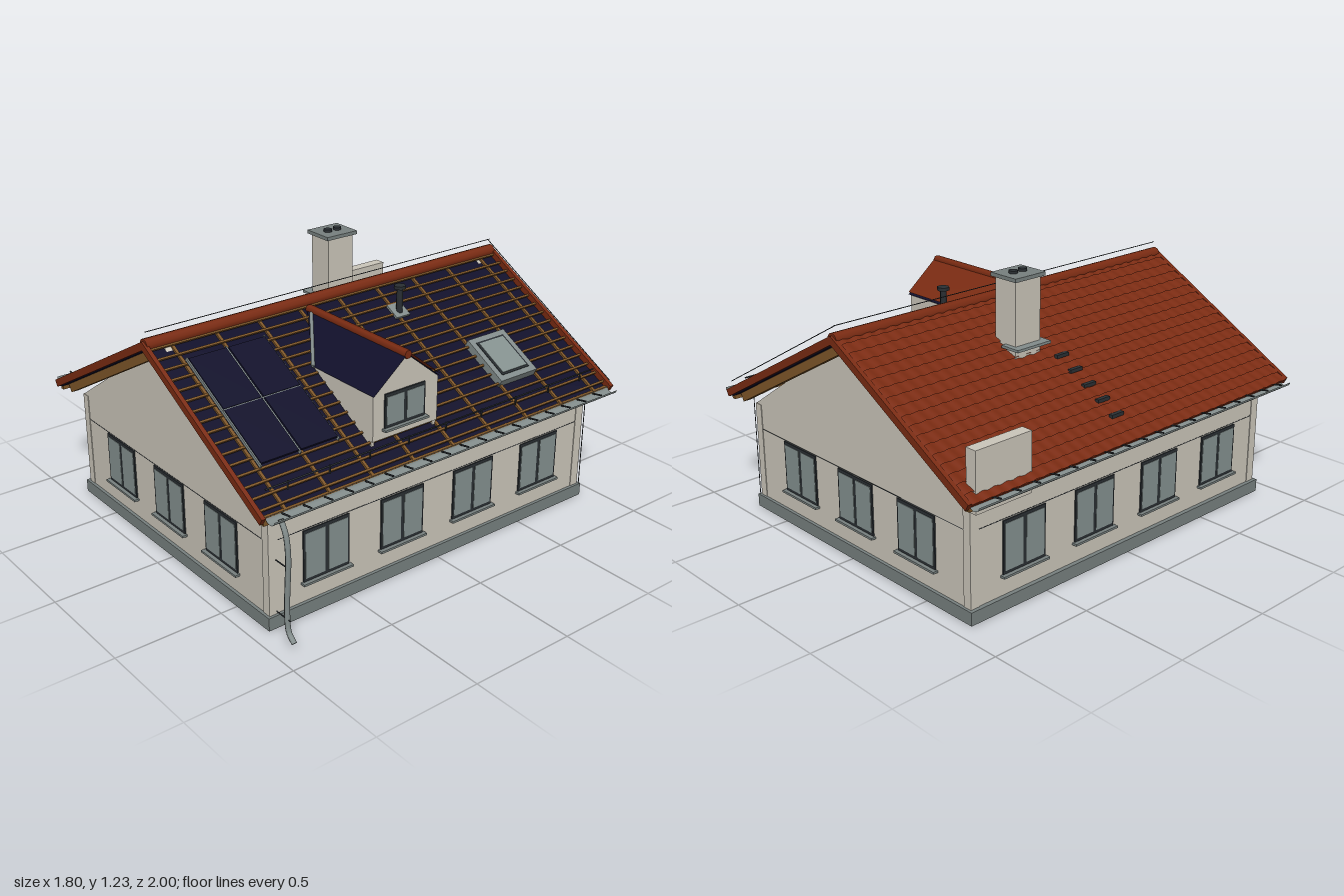
import * as THREE from 'three';

const mat = (name, color, side = THREE.FrontSide) => {
  const m = new THREE.MeshStandardMaterial({ color, side });
  m.name = name;
  return m;
};

export function createModel() {
  const D = THREE.DoubleSide;
  const plaster = mat('plaster', 0xcbc6ba);
  const tile = mat('red tile', 0x7a2b12, D);
  const membrane = mat('navy membrane', 0x100f2a, D);
  const wood = mat('timber', 0x7e5628);
  const stone = mat('grey stone', 0x77807f);
  const metal = mat('grey metal', 0x828c8b, D);
  const glass = mat('window glass', 0x84918f);
  const dark = mat('dark frame', 0x2a2f33);

  const house = new THREE.Group();
  house.name = 'house';
  const add = (name, geo, material, parent = house) => {
    const m = new THREE.Mesh(geo, material);
    m.name = name;
    parent.add(m);
    return m;
  };
  // box given by its minimum and maximum on each axis
  const box = (name, material, x0, x1, y0, y1, z0, z1, parent = house) => {
    const m = add(name, new THREE.BoxGeometry(x1 - x0, y1 - y0, z1 - z0), material, parent);
    m.position.set((x0 + x1) / 2, (y0 + y1) / 2, (z0 + z1) / 2);
    return m;
  };
  // round bar between two points
  const rod = (name, material, a, b, r, parent = house) => {
    const p = new THREE.Vector3(...a), q = new THREE.Vector3(...b);
    const m = add(name, new THREE.CylinderGeometry(r, r, p.distanceTo(q), 6), material, parent);
    m.position.copy(p).add(q).multiplyScalar(0.5);
    m.quaternion.setFromUnitVectors(new THREE.Vector3(0, 1, 0), q.sub(p).normalize());
    return m;
  };
  const plate = (name, material, pts, depth) =>
    add(name, new THREE.ExtrudeGeometry(new THREE.Shape(pts.map(p => new THREE.Vector2(...p))),
      { depth, bevelEnabled: false }), material);

  const CX = -0.02, HW = 0.735, HZ = 0.905, EAVE = 0.52;
  const RIDGE = 1.04, PITCH = 0.555, A = Math.atan(PITCH), L = 0.83 / Math.cos(A);
  const roofY = x => RIDGE - PITCH * Math.abs(x - CX);

  // plinth, walls and gables
  box('plinth', stone, -0.775, 0.73, 0, 0.06, -0.92, 0.92);
  box('walls', plaster, CX - HW, CX + HW, 0.06, EAVE, -HZ, HZ);
  for (const z of [-HZ, HZ - 0.03])
    plate('gable', plaster, [[CX - HW, EAVE], [CX + HW, EAVE], [CX, 1.015]], 0.03).position.z = z;
  // corner strips and the thin band line above the windows
  for (const sx of [-1, 1]) for (const sz of [-1, 1]) {
    const x = CX + sx * (HW - 0.018), z = sz * (HZ - 0.02);
    box('cornerStrip', plaster, x - 0.021, x + 0.021, 0.06, EAVE, z - 0.023, z + 0.023);
  }
  box('bandLine', dark, CX - HW - 0.001, CX + HW + 0.001, 0.399, 0.402, -HZ - 0.001, HZ + 0.001);

  // double casement window, facing +z in its own group
  const makeWindow = (x, y, z, ry, w, h) => {
    const g = new THREE.Group();
    g.name = 'window';
    box('windowFrame', dark, -w / 2, w / 2, -h / 2, h / 2, -0.004, 0.004, g);
    for (const s of [-1, 1]) {
      const c = s * w / 4, hw = w / 4 - 0.009;
      box('windowPane', glass, c - hw, c + hw, -h / 2 + 0.014, h / 2 - 0.014, -0.002, 0.006, g);
    }
    box('windowSill', stone, -w / 2 - 0.01, w / 2 + 0.01, -h / 2 - 0.01, -h / 2, -0.004, 0.022, g);
    g.position.set(x, y, z);
    g.rotation.y = ry;
    house.add(g);
  };
  for (const x of [-0.427, -0.022, 0.38]) {
    makeWindow(x, 0.277, HZ + 0.002, 0, 0.237, 0.24);
    makeWindow(x, 0.277, -HZ - 0.002, Math.PI, 0.237, 0.24);
  }
  for (const z of [-0.617, -0.205, 0.207, 0.617]) {
    makeWindow(CX + HW + 0.002, 0.275, z, Math.PI / 2, 0.237, 0.24);
    makeWindow(CX - HW - 0.002, 0.275, z, -Math.PI / 2, 0.237, 0.24);
  }

  // roof slopes: local x runs down the slope, local y is the outward normal
  const makeSlope = (name, left) => {
    const g = new THREE.Group();
    g.name = name;
    g.position.set(CX, RIDGE, 0);
    g.rotation.set(0, left ? Math.PI : 0, -A);
    box('underlay', membrane, 0, L - 0.01, -0.035, -0.026, -0.985, 0.985, g);
    for (const z of [-0.99, 0.99]) box('vergeTrim', tile, 0, L, -0.03, 0.004, z - 0.01, z + 0.01, g);
    for (let i = 0; i < 9; i++) {
      const z = (i - 4) * 0.235;
      box('rafter', wood, 0.02, L - 0.04, -0.075, -0.035, z - 0.018, z + 0.018, g);
    }
    house.add(g);
    return g;
  };
  const bare = makeSlope('battenedSlope', false);
  const tiled = makeSlope('tiledSlope', true);

  // battens on the open slope
  for (let i = 0; i < 9; i++) {
    const z = -0.9 + i * 0.221;
    box('counterBatten', wood, 0.02, L - 0.02, -0.026, -0.016, z - 0.007, z + 0.007, bare);
  }
  for (let i = 0; i < 16; i++) {
    const x = 0.04 + i * 0.0575;
    box('batten', wood, x - 0.005, x + 0.005, -0.016, -0.007, -0.98, 0.98, bare);
  }

  // overlapping wavy tile courses
  const rows = 18, step = L / rows;
  box('tileBed', tile, 0, L, -0.026, -0.008, -0.98, 0.98, tiled);
  for (let i = 0; i < rows; i++) {
    const geo = new THREE.PlaneGeometry(step + 0.012, 1.96, 1, 160).rotateX(-Math.PI / 2);
    const p = geo.attributes.position;
    for (let j = 0; j < p.count; j++)
      p.setY(j, (p.getX(j) > 0 ? 0.006 : -0.005) + 0.003 * Math.sin(p.getZ(j) * 100));
    geo.computeVertexNormals();
    add('tileCourse', geo, tile, tiled).position.x = (i + 0.5) * step;
  }
  // ridge tiles
  const ridge = add('ridgeTiles', new THREE.CylinderGeometry(0.03, 0.03, 1.98, 10).rotateX(Math.PI / 2), tile);
  ridge.position.set(CX, 1.025, 0);

  // eaves: fascia, gutter and brackets
  for (const s of [-1, 1]) {
    const fx = CX + s * 0.805;
    box('fascia', wood, fx - 0.01, fx + 0.01, 0.54, 0.575, -0.98, 0.98);
    const gx = CX + s * 0.842;
    const gutter = add('gutter', new THREE.CylinderGeometry(0.028, 0.028, 1.95, 10, 1, true, -Math.PI / 2, Math.PI)
      .rotateX(Math.PI / 2).scale(1, 0.8, 1), metal);
    gutter.position.set(gx, 0.577, -0.005);
    for (let i = 0; i < 18; i++) {
      const z = -0.87 + i * 0.104;
      rod('gutterBracket', dark, [gx - s * 0.02, 0.574, z], [gx + s * 0.032, 0.583, z], 0.004);
    }
  }

  // curved downpipe with clips
  const path = new THREE.CatmullRomCurve3([[0.825, 0.565], [0.855, 0.51], [0.868, 0.42], [0.862, 0.3],
    [0.855, 0.17], [0.865, 0.07], [0.9, 0.035]].map(([x, y]) => new THREE.Vector3(x, y, 0.92)));
  add('downpipe', new THREE.TubeGeometry(path, 40, 0.012, 8), metal);
  for (const y of [0.365, 0.127]) rod('pipeClip', dark, [0.785, y, 0.92], [0.875, y, 0.92], 0.003);

  // lightning conductor
  rod('conductor', dark, [CX, 1.083, -0.98], [CX, 1.083, 0.98], 0.002);
  rod('conductor', dark, [CX, 1.083, -0.97], [0.81, 0.617, -0.97], 0.002);
  rod('conductor', dark, [0.727, 0.01, -0.91], [0.727, 0.56, -0.91], 0.002);

  // snow rail
  rod('snowRail', dark, [0.725, 0.65, -0.95], [0.725, 0.65, 0.92], 0.004);
  for (let i = 0; i < 9; i++) {
    const z = -0.86 + i * 0.209;
    rod('snowRailPost', dark, [0.725, 0.615, z], [0.725, 0.655, z], 0.004);
  }

  // chimney
  box('chimneyStack', plaster, -0.35, -0.225, 0.82, 1.2, -0.28, -0.135);
  box('chimneyCap', stone, -0.365, -0.212, 1.198, 1.215, -0.295, -0.12);
  box('chimneyFlashing', metal, -0.39, -0.29, 0.898, 0.91, -0.305, -0.108);
  for (const z of [-0.235, -0.18])
    add('chimneyPot', new THREE.CylinderGeometry(0.02, 0.02, 0.03, 12), dark).position.set(-0.287, 1.212, z);

  // roof steps and upright panel on the tiled slope
  for (let i = 0; i < 5; i++) {
    const x = -0.732 + i * 0.082, y = roofY(x);
    box('roofStep', dark, x - 0.01, x + 0.01, y, y + 0.016, -0.09, -0.02);
  }
  box('eavePanel', plaster, -0.817, -0.762, 0.505, 0.772, -0.93, -0.635);

  // vent pipe
  rod('ventPipe', dark, [0.158, 0.92, -0.245], [0.158, 1.05, -0.245], 0.016);
  rod('ventCap', dark, [0.158, 1.045, -0.245], [0.158, 1.06, -0.245], 0.029);
  box('ventFlashing', metal, 0.16, 0.24, -0.015, -0.003, -0.285, -0.205, bare);

  // skylight
  const down = x => (x - CX) / Math.cos(A);
  const s0 = down(0.4), s1 = down(0.625);
  box('skylightFrame', metal, s0, s1, -0.03, 0.014, -0.67, -0.445, bare);
  box('skylightTrim', dark, s0 + 0.028, s1 - 0.028, 0.01, 0.017, -0.642, -0.473, bare);
  box('skylightGlass', glass, s0 + 0.038, s1 - 0.038, 0.01, 0.02, -0.632, -0.483, bare);

  // solar panels on rails
  const p0 = down(0.115), p1 = down(0.615), pm = (p0 + p1) / 2;
  for (const [a, b] of [[p0, pm - 0.003], [pm + 0.003, p1]])
    for (const [c, d] of [[0.485, 0.67], [0.682, 0.867]])
      box('solarPanel', membrane, a, b, 0.012, 0.024, c, d, bare);
  for (const z of [0.482, 0.676, 0.87]) box('solarRail', metal, p0 - 0.01, p1 + 0.01, 0.004, 0.019, z - 0.003, z + 0.003, bare);
  box('solarJoint', metal, pm - 0.003, pm + 0.003, 0.008, 0.021, 0.482, 0.87, bare);

  // dormer: front wall, cheeks and window
  const DZ = 0.167, DW = 0.177;
  const face = plate('dormerFront', plaster,
    [[-DW, 0.655], [DW, 0.655], [DW, 0.86], [0, 1.005], [-DW, 0.86]], 0.015);
  face.rotation.y = Math.PI / 2;
  face.position.set(0.665, 0, DZ);
  for (const z of [DZ - DW, DZ + DW - 0.015])
    plate('dormerCheek', plaster, [[0.67, 0.63], [0.67, 0.86], [0.28, 0.86]], 0.015).position.z = z;
  makeWindow(0.683, 0.78, 0.175, Math.PI / 2, 0.22, 0.155);

  // dormer roof: tiles on the back side, membrane on the front side and beneath
  const quad = (name, material, s, lift) => {
    const geo = new THREE.BufferGeometry();
    const e = DZ + s * (DW + 0.006);
    geo.setAttribute('position', new THREE.Float32BufferAttribute([
      0.005, 1.008 + lift, DZ, 0.69, 1.008 + lift, DZ, 0.69, 0.86 + lift, e, 0.285, 0.86 + lift, e], 3));
    geo.setIndex(s > 0 ? [0, 2, 1, 0, 3, 2] : [0, 1, 2, 0, 2, 3]);
    geo.computeVertexNormals();
    add(name, geo, material);
  };
  quad('dormerMembrane', membrane, 1, 0.004);
  quad('dormerMembrane', membrane, -1, 0);
  quad('dormerTiles', tile, -1, 0.012);
  rod('dormerRidge', tile, [0.02, 1.005, DZ], [0.69, 1.005, DZ], 0.02);
  rod('dormerValley', metal, [0.06, 1.0, 0.185], [0.29, 0.866, 0.352], 0.009);

  return house;
}
